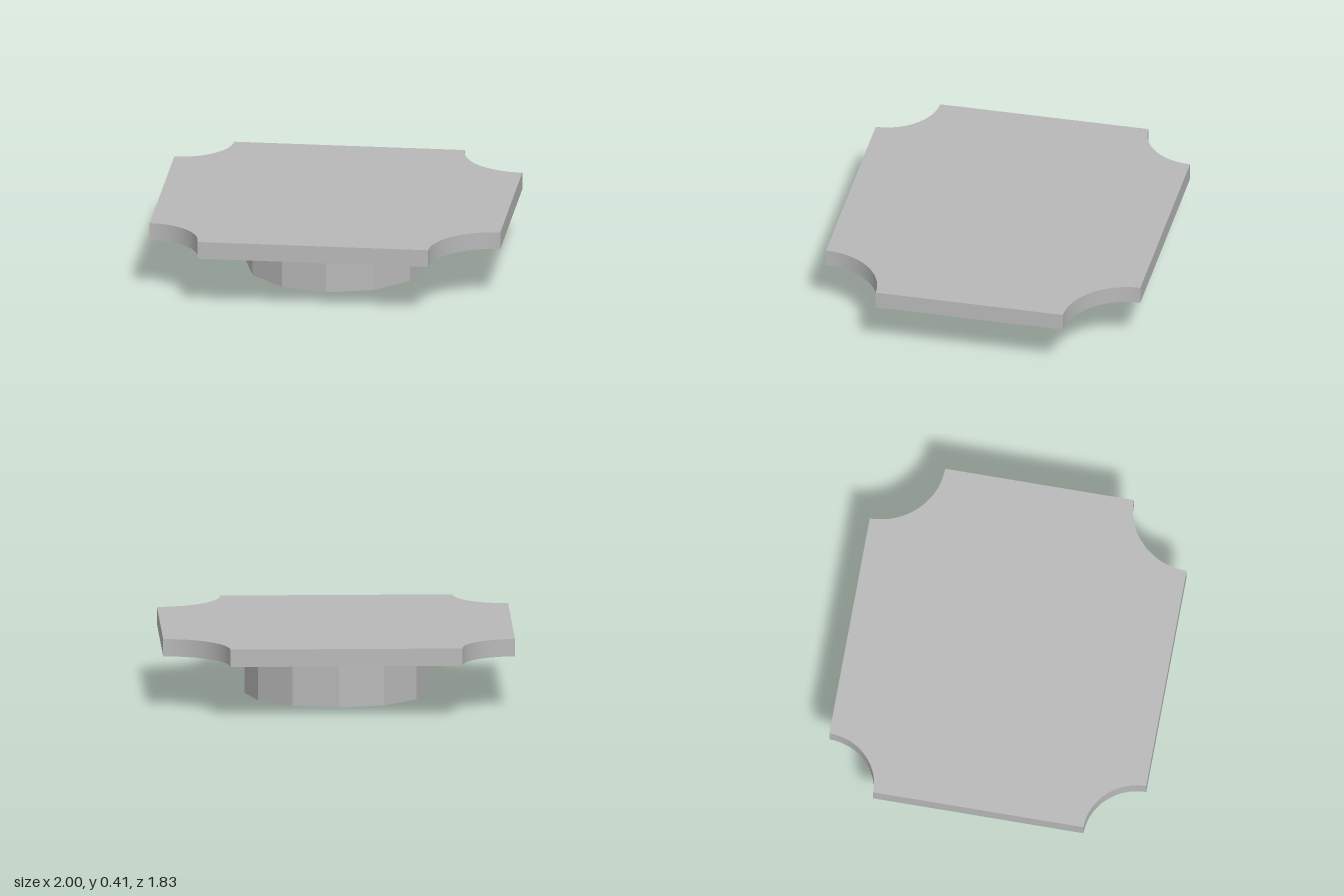
import * as THREE from 'three';
import { toCreasedNormals } from 'three/addons/utils/BufferGeometryUtils.js';

const W = 1, D = 0.915;          // plate half sizes
const RING_H = 0.305, PLATE_T = 0.1;

// Extrude a flat outline upward from height y
function extrudeUp(shape, y, height, curveSegments) {
  const g = new THREE.ExtrudeGeometry(shape, { depth: height, bevelEnabled: false, curveSegments });
  g.rotateX(-Math.PI / 2);
  g.translate(0, y, 0);
  return g;
}

// Regular polygon with a corner on the x axis
function polygon(radius, sides) {
  return Array.from({ length: sides }, (_, i) => {
    const a = (i / sides) * Math.PI * 2;
    return new THREE.Vector2(radius * Math.cos(a), radius * Math.sin(a));
  });
}

export function createModel() {
  const model = new THREE.Group();
  const grey = new THREE.MeshStandardMaterial({ color: 0xb8b8b8 });
  grey.name = 'grey';

  // Plate with a quarter-circle scoop at each corner, larger on the +x side
  const q = Math.PI / 2, small = 0.308, large = 0.37;
  const outline = new THREE.Shape();
  outline.moveTo(-W + small, -D);
  outline.lineTo(W - large, -D);
  outline.absarc(W, -D, large, 2 * q, q, true);
  outline.absarc(W, D, large, 3 * q, 2 * q, true);
  outline.absarc(-W, D, small, 4 * q, 3 * q, true);
  outline.absarc(-W, -D, small, q, 0, true);
  const plate = new THREE.Mesh(
    toCreasedNormals(extrudeUp(outline, RING_H, PLATE_T, 24), Math.PI / 9), grey);
  plate.name = 'plate';
  model.add(plate);

  // Twelve-sided hollow collar under the plate
  const collarShape = new THREE.Shape(polygon(0.52, 12));
  collarShape.holes.push(new THREE.Path(polygon(0.433, 12).reverse()));
  const collar = new THREE.Mesh(extrudeUp(collarShape, 0, RING_H, 1), grey);
  collar.name = 'collar';
  model.add(collar);

  return model;
}
